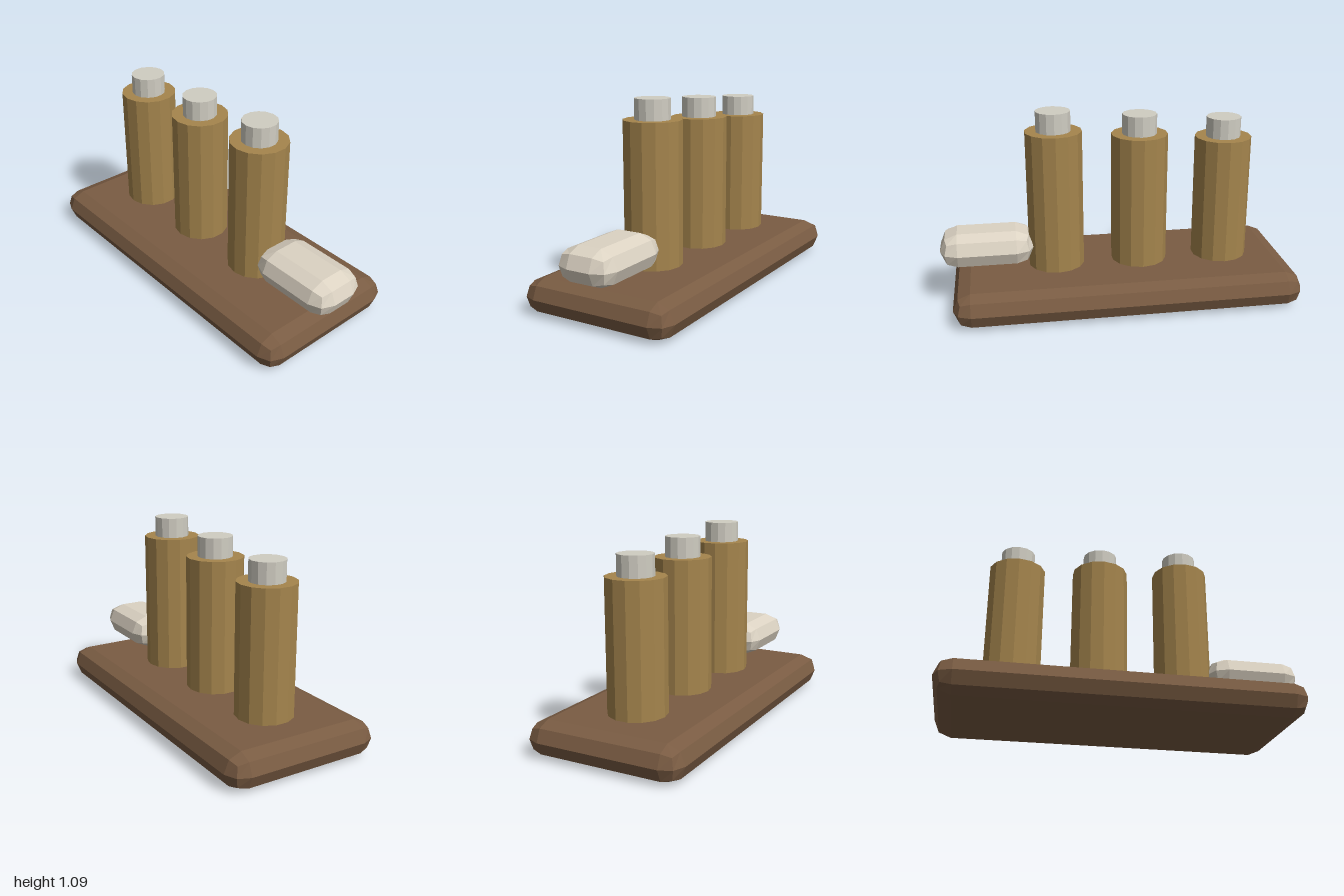
import * as THREE from 'three';
import { RoundedBoxGeometry } from 'three/addons/geometries/RoundedBoxGeometry.js';

const paint = (color) => new THREE.MeshStandardMaterial({ color, flatShading: true });

export function createModel() {
  const model = new THREE.Group();
  const wood = paint(0x7a5c43);
  const brass = paint(0xa5854d);
  const steel = paint(0xd0cdc2);
  const cloth = paint(0xdcd3c3);

  const add = (name, geometry, material, x, y, z = 0) => {
    const mesh = new THREE.Mesh(geometry, material);
    mesh.name = name;
    mesh.position.set(x, y, z);
    model.add(mesh);
  };

  // Softly faceted block with the given outer size; one bevel segment reaches
  // only 3/sqrt(11) of the radius, so the box is enlarged to compensate.
  const softBlock = (w, h, d) => {
    const reach = 3 / Math.sqrt(11);
    const r = h / 2 / reach;
    const extra = 2 * r * (1 - reach);
    return new RoundedBoxGeometry(w + extra, h + extra, d + extra, 1, r);
  };

  // Upright 14-sided cylinder spanning y0 to y1
  const post = (name, radius, y0, y1, material, x) =>
    add(name, new THREE.CylinderGeometry(radius, radius, y1 - y0, 14), material, x, (y0 + y1) / 2);

  // Base board
  add('base', softBlock(1.935, 0.175, 0.87), wood, -0.0325, 0.0875);

  // Three posts, rising slightly from right to left, each with a narrow cap
  [[-0.613, 0.9], [-0.129, 0.935], [0.354, 0.97]].forEach(([x, top], i) => {
    post(`post${i + 1}`, 0.16, 0.15, top, brass, x);
    post(`postCap${i + 1}`, 0.0975, top - 0.03, top + 0.113, steel, x);
  });

  // Rounded pad beside the tallest post
  add('pad', softBlock(0.505, 0.178, 0.314), cloth, 0.7475, 0.318);

  return model;
}
